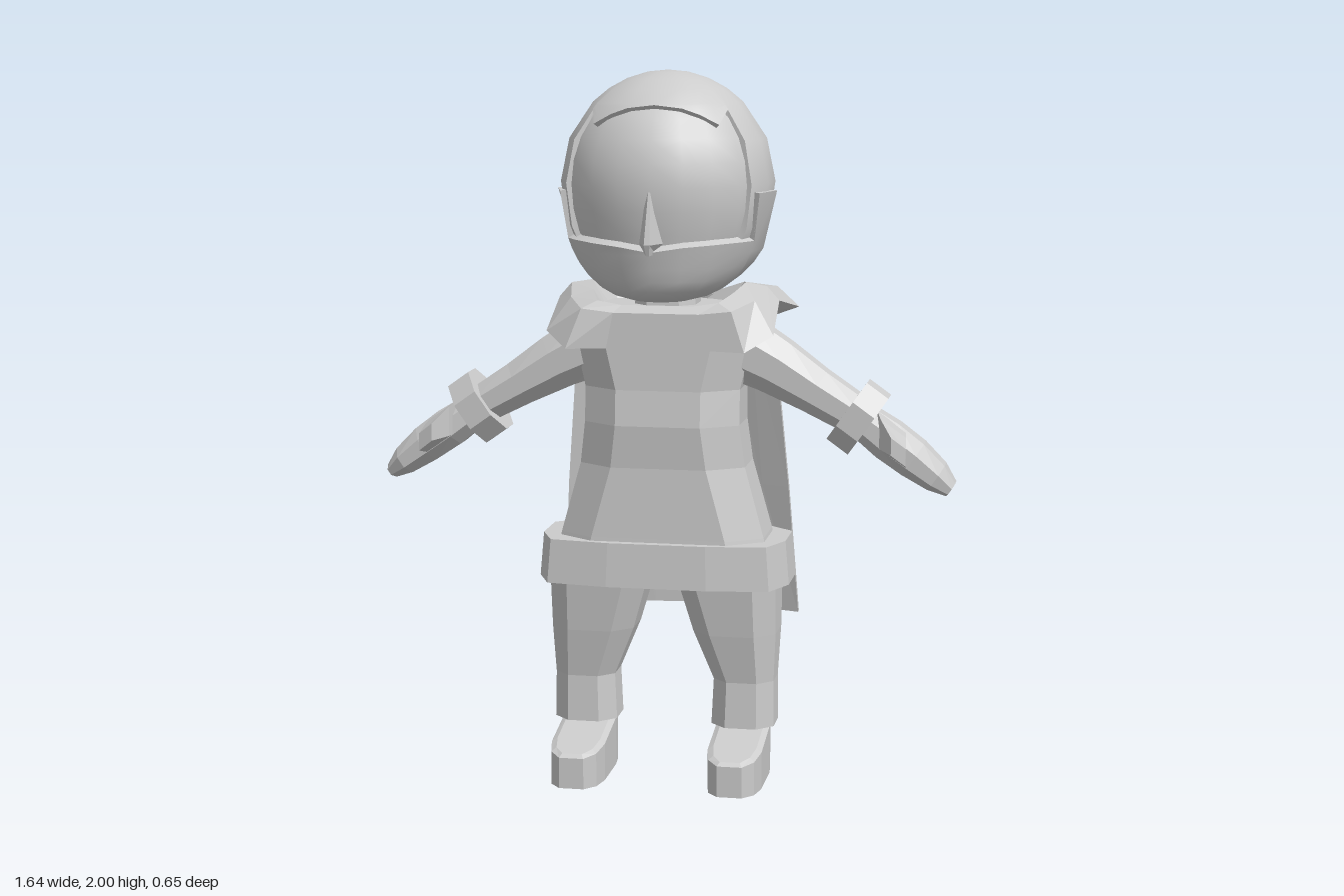
import * as THREE from 'three';
import { toCreasedNormals } from 'three/addons/utils/BufferGeometryUtils.js';

const flat = new THREE.MeshStandardMaterial({ color: 0xcccccc, flatShading: true });
const smooth = new THREE.MeshStandardMaterial({ color: 0xcccccc });
const flatDouble = new THREE.MeshStandardMaterial({ color: 0xcccccc, flatShading: true, side: THREE.DoubleSide });

// Skin a list of equal-length closed rings of [x, y, z]; wrap joins last ring to first
function loft(rings, wrap = false) {
  const tris = [], n = rings[0].length;
  const quad = (a, b, c, d) => tris.push([a, b, c], [a, c, d]);
  const last = wrap ? rings.length : rings.length - 1;
  for (let r = 0; r < last; r++) {
    const A = rings[r], B = rings[(r + 1) % rings.length];
    for (let i = 0; i < n; i++) quad(A[i], A[(i + 1) % n], B[(i + 1) % n], B[i]);
  }
  if (!wrap) {
    const cap = (R, flip) => {
      for (let i = 0; i < n / 2 - 1; i++) {
        const q = [R[i], R[n - 1 - i], R[n - 2 - i], R[i + 1]];
        quad(...(flip ? q.reverse() : q));
      }
    };
    cap(rings[0], false);
    cap(rings[rings.length - 1], true);
  }
  // Drop empty triangles and turn the skin outwards
  const v = (p) => new THREE.Vector3(...p);
  let volume = 0;
  const solid = tris.filter(([a, b, c]) => v(b).sub(v(a)).cross(v(c).sub(v(a))).length() > 1e-9);
  solid.forEach(([a, b, c]) => { volume += v(a).dot(v(b).cross(v(c))); });
  if (volume < 0) solid.forEach((t) => t.reverse());
  const g = new THREE.BufferGeometry();
  g.setAttribute('position', new THREE.Float32BufferAttribute(solid.flat(2), 3));
  g.computeVertexNormals();
  return g;
}

// Horizontal chamfered ring: centre x, height, half width, front z, back z, chamfers
function ring(cx, y, w, f, b, kx, kz) {
  const half = [[w - kx, f], [w, f - kz], [w, b + kz], [w - kx, b]];
  return [...half, ...half.map(([x, z]) => [-x, z]).reverse()].map(([x, z]) => [cx + x, y, z]);
}

// Octagon across the sloping arm: centre, half thickness, half width in z
function armRing(x, y, h, w, z = 0.025) {
  return Array.from({ length: 8 }, (_, i) => {
    const t = (i + 0.5) * Math.PI / 4, u = 1.08 * h * Math.cos(t);
    return [x + 0.57 * u, y + 0.82 * u, z + 1.08 * w * Math.sin(t)];
  });
}

// Point on the head: azimuth from the front, elevation, scale; the jaw is fuller and pushed forward
function headPoint(a, e, s) {
  const dy = Math.sin(e), c = Math.pow(Math.abs(Math.cos(e)), dy < 0 ? 0.75 : 1);
  const push = dy < 0 ? 0.12 * dy ** 4 : 0;
  return [0.3 * s * c * Math.sin(a), 1.69 + 0.31 * s * dy, 0.01 + push + 0.295 * s * c * Math.cos(a)];
}

// Thick strip of head surface through the given elevations; sweep widens it towards the chin
function headStrip(a, elevations, outer, inner, sweep = 0) {
  const at = (s) => elevations.map((e) => headPoint(a * (1 + sweep * Math.sin(e) ** 2), e, s));
  return [...at(outer), ...at(inner).reverse()];
}

const steps = (e0, e1, n) => Array.from({ length: n + 1 }, (_, i) => e0 + (e1 - e0) * i / n);

export function createModel() {
  const model = new THREE.Group();
  const add = (name, geo, mat = flat) => {
    const m = new THREE.Mesh(geo, mat);
    m.name = name;
    model.add(m);
  };
  const both = (list) => [...list.filter(([a]) => a > 0).map(([a, e]) => [-a, e]).reverse(), ...list];
  const P = Math.PI / 2;

  // Face
  const face = new THREE.SphereGeometry(1, 20, 14);
  const fp = face.attributes.position;
  for (let i = 0; i < fp.count; i++) {
    const x = fp.getX(i), y = fp.getY(i), z = fp.getZ(i);
    fp.setXYZ(i, ...headPoint(Math.atan2(x, z), Math.asin(THREE.MathUtils.clamp(y, -1, 1)), 0.96));
  }
  face.computeVertexNormals();
  add('face', face, smooth);

  // Hair shell with a zigzag face opening
  const hairEdge = both([[0, 0.79], [0.35, 0.75], [0.55, 0.68], [0.76, 0.57], [1.0, 0.73], [1.04, -P],
    [1.35, -P], [1.7, -P], [2.05, -P], [2.4, -P], [2.75, -P], [3.05, -P]]);
  add('hair', toCreasedNormals(loft(hairEdge.map(([a, e]) =>
    headStrip(a, [...steps(e, 0.8, 6), ...steps(0.8, P, 4).slice(1)], 1, 0.93)), true), 0.6), smooth);

  // Mask over the jaw, with raised side straps
  const maskEdge = both([[0, -0.57], [0.3, -0.52], [0.6, -0.5], [0.9, -0.49], [1.1, -0.49], [1.11, -0.06], [1.5, -0.06]]);
  add('mask', toCreasedNormals(loft(maskEdge.map(([a, e]) =>
    headStrip(a, [...steps(-P, -0.6, 6), e], 1.04, 0.93, 0.3))), 0.6), smooth);

  // Nose
  add('nose', loft([[1.7, 0.02, 0.002, 0.287], [1.54, 0.035, 0.008, 0.328], [1.51, 0.012, 0.004, 0.318]]
    .map(([y, w, tip, z]) => [[-w, y, 0.26], [-tip, y, z], [tip, y, z], [w, y, 0.26]])));

  // Knot at the back of the head
  const knot = (w, top, bottom) => [[-w, ...top], [w, ...top], [w, ...bottom], [-w, ...bottom]];
  add('hairKnot', loft([knot(0.03, [1.51, -0.19], [1.45, -0.15]), knot(0.045, [1.515, -0.245], [1.44, -0.2]),
    knot(0.072, [1.47, -0.325], [1.37, -0.23])]));

  // Neck and tunic
  add('neck', loft([ring(0, 1.28, 0.09, 0.1, -0.08, 0.04, 0.04), ring(0, 1.46, 0.08, 0.09, -0.07, 0.04, 0.04)]));
  add('tunic', loft([[0.6, 0.31, 0.18, -0.13], [0.7, 0.29, 0.175, -0.13], [0.9, 0.235, 0.17, -0.12],
    [1.02, 0.22, 0.18, -0.11], [1.12, 0.22, 0.17, -0.11], [1.25, 0.25, 0.17, -0.1], [1.35, 0.2, 0.15, -0.1]]
    .map(([y, w, f, b]) => ring(0, y, w, f, b, 0.1, 0.07))));

  // Belt
  const beltHalf = [[0.14, 0.202], [0.31, 0.178], [0.352, 0.08], [0.352, -0.06], [0.25, -0.147]];
  const beltOutline = [...beltHalf, ...beltHalf.map(([x, z]) => [-x, z]).reverse()];
  add('belt', loft([[0.565, 1.02], [0.69, 0.99]].map(([y, s]) => beltOutline.map(([x, z]) => [x * s, y, z * s]))));

  // Cowl collar, arched over the shoulders and flared to points behind them
  const mirrorRing = (h) => [...h, ...h.map(([x, y, z]) => [-x, y, z]).reverse()];
  const collarTop = [[0.1, 1.36, 0.18], [0.17, 1.37, 0.17], [0.2, 1.39, 0.08], [0.22, 1.41, 0], [0.2, 1.4, -0.1], [0.09, 1.36, -0.15]];
  const collarMid = [[0.12, 1.34, 0.2], [0.21, 1.35, 0.2], [0.26, 1.37, 0.1], [0.28, 1.4, 0], [0.29, 1.385, -0.14], [0.15, 1.35, -0.18]];
  const collarLow = [[0.14, 1.24, 0.2], [0.25, 1.24, 0.225], [0.32, 1.28, 0.15], [0.315, 1.36, 0], [0.345, 1.32, -0.2], [0.18, 1.26, -0.19]];
  const collarIn = [[0.1, 1.25, 0.14], [0.2, 1.26, 0.14], [0.24, 1.28, 0.08], [0.25, 1.32, 0], [0.22, 1.29, -0.08], [0.1, 1.25, -0.1]];
  const collarNeck = collarTop.map(([x, y, z]) => [x * 0.8, y - 0.06, z * 0.8]);
  add('collar', loft([collarIn, collarLow, collarMid, collarTop, collarNeck].map(mirrorRing)), flatDouble);

  // Cape, a thin curved sheet hanging from the collar
  const capeRing = (y, w, mid, edge) => {
    const row = (d) => Array.from({ length: 9 }, (_, i) => {
      const t = i / 4 - 1, fold = i % 2 ? 0.006 : 0;
      return [t * w, y, mid + (edge - mid) * Math.pow(Math.abs(t), 2.2) + fold + d];
    });
    return [...row(0), ...row(0.02).reverse()];
  };
  add('cape', loft([capeRing(0.42, 0.35, -0.28, -0.21), capeRing(0.8, 0.325, -0.24, -0.165),
    capeRing(1.26, 0.285, -0.19, -0.12), capeRing(1.36, 0.24, -0.17, -0.11)]));

  for (const side of [1, -1]) {
    const label = side > 0 ? 'left' : 'right';
    const put = (name, rings) => add(label + name,
      loft(rings.map((r) => r.map(([x, y, z]) => [side * x, y, z]))));

    // Sleeve, cuff and mitten
    put('Sleeve', [armRing(0.17, 1.25, 0.1, 0.085), armRing(0.31, 1.18, 0.08, 0.08),
      armRing(0.42, 1.115, 0.065, 0.075), armRing(0.54, 1.045, 0.055, 0.07)]);
    put('Cuff', [armRing(0.515, 1.063, 0.098, 0.095), armRing(0.575, 1.02, 0.098, 0.095)]);
    put('Hand', [armRing(0.56, 1.03, 0.05, 0.065), armRing(0.63, 0.98, 0.057, 0.075),
      armRing(0.7, 0.93, 0.054, 0.08), armRing(0.765, 0.88, 0.042, 0.075), armRing(0.806, 0.846, 0.022, 0.052)]);
    put('Thumb', [[0.6, 0.68, 0.06, 0.045], [0.615, 0.685, 0.115, 0.04], [0.65, 0.69, 0.175, 0.022]]
      .map(([x0, x1, z, h]) => [[x0, 1.02 + h - (x0 - 0.6) * 0.65, z], [x1, 1.015 + h - (x1 - 0.6) * 0.65, z - 0.01],
        [x1, 1.01 - h - (x1 - 0.6) * 0.65, z - 0.01], [x0, 1.015 - h - (x0 - 0.6) * 0.65, z]]));

    // Trouser leg
    put('Leg', [ring(0.228, 0.148, 0.09, 0.12, -0.062, 0.045, 0.045), ring(0.23, 0.28, 0.086, 0.115, -0.06, 0.043, 0.043),
      ring(0.205, 0.42, 0.118, 0.14, -0.085, 0.055, 0.055), ring(0.18, 0.6, 0.145, 0.165, -0.1, 0.06, 0.06)]);

    // Shoe: rounded sole outline, top sloping down to the toe
    const sole = [[0.035, 0.295], [0.065, 0.26], [0.077, 0.2], [0.077, 0.04], [0.07, -0.02], [0.035, -0.05]];
    const outline = [...sole, ...sole.map(([x, z]) => [-x, z]).reverse()];
    const topY = (z) => (z > 0.04 ? 0.147 - (z - 0.04) * 0.19 : 0.15);
    put('Shoe', [outline.map(([x, z]) => [0.225 + x, 0, z]),
      outline.map(([x, z]) => [0.225 + x, topY(z) - 0.01, z]),
      outline.map(([x, z]) => [0.225 + x * 0.8, topY(z), z * 0.96])]);
  }
  return model;
}
